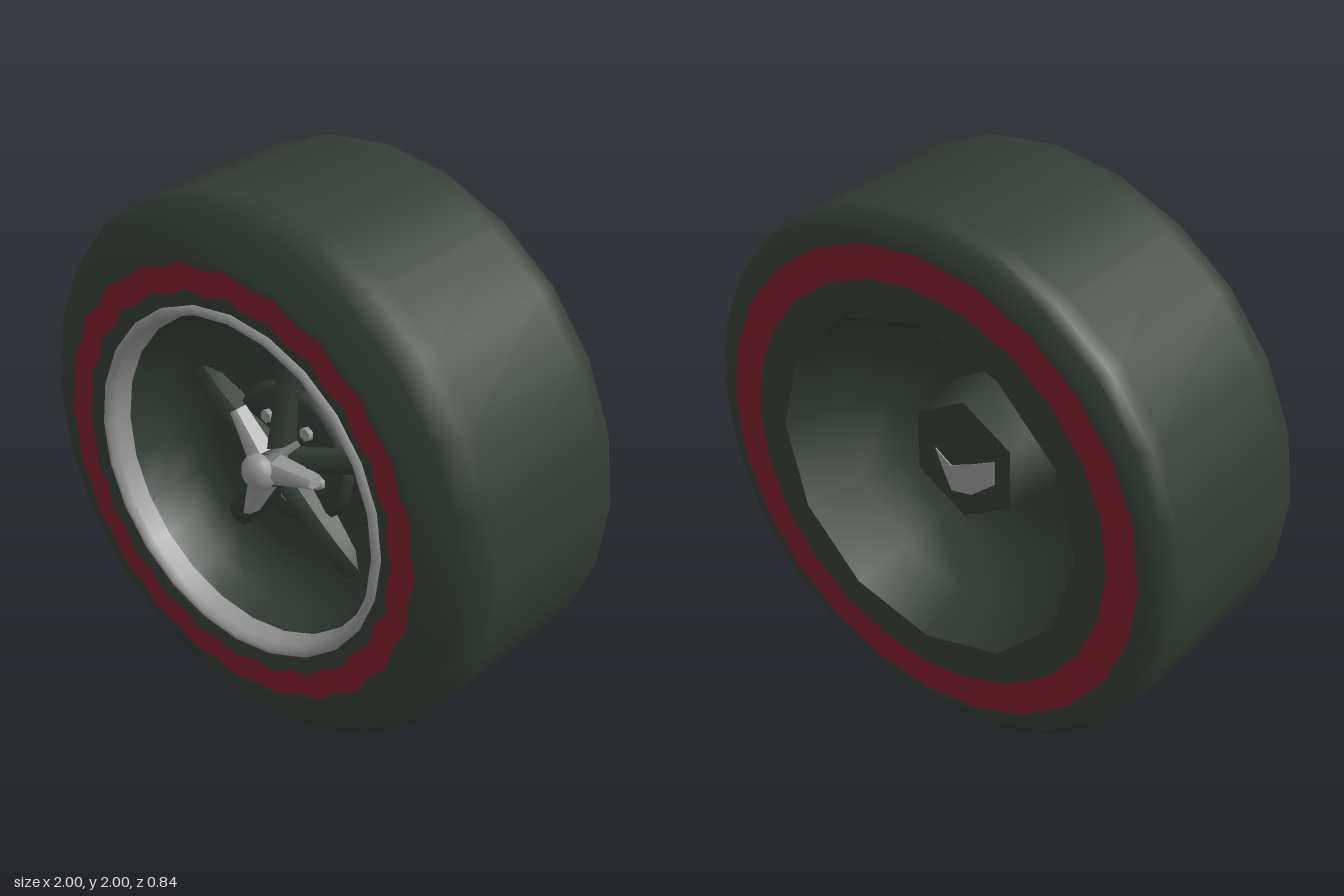
import * as THREE from 'three';

const mat = (name, color) => Object.assign(new THREE.MeshStandardMaterial({ color }), { name });

// Points of a regular polygon around the z axis, starting at the top; radii alternate through the list
const polygon = (sides, ...radii) => Array.from({ length: sides }, (_, i) => {
  const a = i * Math.PI * 2 / sides;
  const r = radii[i % radii.length];
  return new THREE.Vector2(r * Math.sin(a), r * Math.cos(a));
});

// Flat ring between two polygons, facing +z
const flatRing = (outer, inner) => {
  const shape = new THREE.Shape(outer);
  shape.holes.push(new THREE.Path(inner));
  return new THREE.ShapeGeometry(shape);
};

export function createModel() {
  const dark = mat('darkRubber', 0x343d35);
  const red = mat('redStripe', 0x7c202e);
  const grey = mat('metalGrey', 0x969696);
  const wheel = new THREE.Group();
  wheel.name = 'wheel';
  wheel.position.y = 1;

  const add = (name, geometry, material) => {
    const mesh = new THREE.Mesh(geometry, material);
    mesh.name = name;
    wheel.add(mesh);
    return mesh;
  };

  // Turned part around the z axis; profile points are [radius, z]
  const turned = (name, profile, sides, material) => {
    const g = new THREE.LatheGeometry(profile.map(([r, z]) => new THREE.Vector2(r, z)), sides);
    g.rotateX(Math.PI / 2);
    return add(name, g, material);
  };

  // Tapered bar along +y; rule(t) gives [halfWidth, backZ, frontZ] at t = 0..1, crown narrows the front
  const bar = (name, r0, r1, crown, rule, material, angle) => {
    const g = new THREE.BoxGeometry(2, 1, 2, 2, 6, 1);
    const p = g.attributes.position;
    for (let i = 0; i < p.count; i++) {
      const t = p.getY(i) + 0.5;
      const [w, back, front] = rule(t);
      const isFront = p.getZ(i) > 0;
      const side = p.getX(i);
      const edgeDrop = isFront ? Math.abs(side) * (front - back) * 0.3 : 0;
      p.setXYZ(i, side * w * (isFront ? crown : 1), r0 + (r1 - r0) * t, (isFront ? front : back) - edgeDrop);
    }
    g.computeVertexNormals();
    add(name, g, material).rotation.z = angle;
  };

  // Tyre: tread with shoulders and front sidewall in one sweep
  turned('tread', [[0.885, -0.418], [0.92, -0.415], [0.965, -0.39], [1, -0.36], [1, -0.3], [1, 0.24],
    [1, 0.3], [0.935, 0.36], [0.825, 0.416], [0.79, 0.417], [0.695, 0.417], [0.64, 0.4]], 24, dark);

  // Front stripe with a scalloped edge, a thin plate on the sidewall
  add('frontStripe', flatRing(polygon(48, 0.803, 0.783), polygon(48, 0.71, 0.688)), red).position.z = 0.42;

  // Back stripe, and the back sidewall around a twelve-sided opening
  turned('backStripe', [[0.762, -0.418], [0.885, -0.418]], 24, red);
  const backWall = flatRing(polygon(24, 0.762), polygon(12, 0.64)).rotateY(Math.PI);
  add('backInnerSidewall', backWall, dark).position.z = -0.418;

  // Rim lip and front dish
  turned('rimLip', [[0.65, 0.4], [0.64, 0.417], [0.62, 0.418], [0.61, 0.39], [0.595, 0.33]], 24, grey);
  turned('frontDish', [[0.595, 0.33], [0.57, 0.22], [0.5, 0.13], [0.4, 0.1], [0.27, 0.1], [0, 0.1]], 24, dark);
  turned('hubDisc', [[0.27, 0.09], [0.265, 0.125], [0.24, 0.135], [0, 0.14]], 20, dark);

  // Hollow back with a six-sided boss
  turned('backDish', [[0.18, 0.04], [0.32, 0.02], [0.46, -0.07], [0.56, -0.22], [0.64, -0.418]], 12, dark);
  turned('backBossEnd', [[0, -0.2], [0.235, -0.2]], 6, dark);
  // side profile runs from the dish out to the end when seen from inside, so it lists the end first
  turned('backBossSide', [[0.235, -0.2], [0.24, -0.08], [0.265, 0.04]], 6, dark);

  // Exposed axle metal on the boss end
  const patch = new THREE.Shape([[0.125, 0], [0.055, -0.045], [-0.04, 0], [-0.135, 0.05], [-0.135, -0.045],
    [-0.035, -0.13], [0.055, -0.15], [0.09, -0.08]].map(([x, y]) => new THREE.Vector2(x, y)));
  add('axlePatch', new THREE.ExtrudeGeometry(patch, { depth: 0.009, bevelEnabled: false }), grey).position.z = -0.204;

  // Five spokes with low wheel nuts between them
  for (let i = 0; i < 5; i++) {
    const a = i * Math.PI * 2 / 5;
    bar('spoke', 0.04, 0.48, 0.65,
      t => [0.05 + 0.025 * t * t, 0.08, 0.25 - 0.07 * t - 0.045 * t * t], dark, a);
    const nut = new THREE.CylinderGeometry(0.025, 0.028, 0.04, 6).rotateX(Math.PI / 2);
    const b = a + Math.PI * 0.3;
    add('wheelNut', nut, grey).position.set(0.155 * Math.cos(b), 0.155 * Math.sin(b), 0.135);
  }

  // Three-bladed spinner with a domed cap
  for (let i = 0; i < 3; i++) {
    bar('spinnerBlade', 0, 0.225, 0.75,
      t => [0.062 - 0.04 * t, 0.22, 0.305 - 0.025 * t], grey, (i * 120 - 82) * Math.PI / 180);
  }
  turned('spinnerHub', [[0.09, 0.13], [0.065, 0.28]], 12, dark);
  const cap = add('spinnerCap', new THREE.SphereGeometry(0.068, 14, 10), grey);
  cap.position.z = 0.285;
  cap.scale.z = 0.8;

  const model = new THREE.Group();
  model.name = 'model';
  model.add(wheel);
  return model;
}
